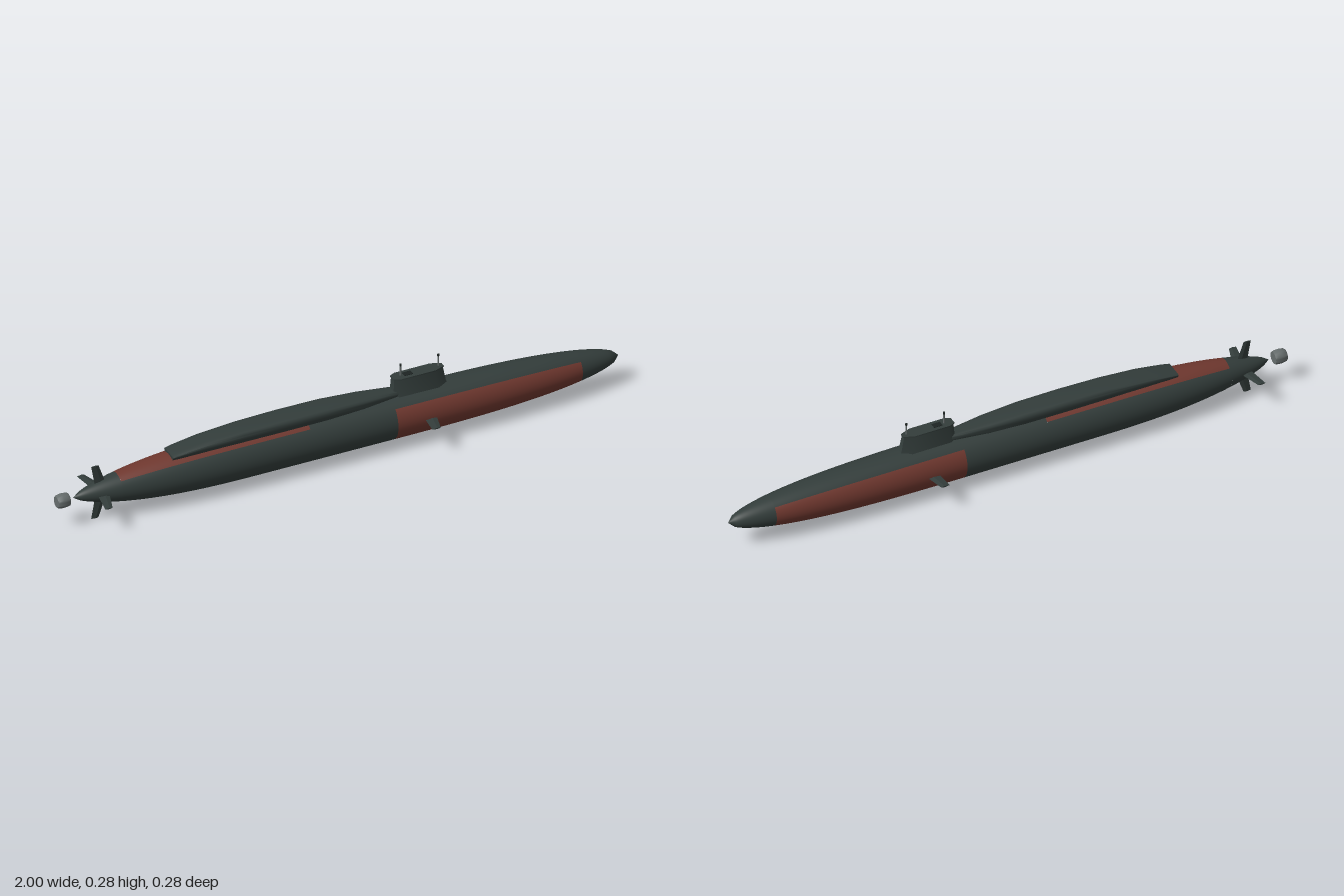
import * as THREE from 'three';
import { toCreasedNormals } from 'three/addons/utils/BufferGeometryUtils.js';

const material = (name, color) => new THREE.MeshStandardMaterial({ name, color });
const AXIS = 0.1; // height of the hull axis
const rad = THREE.MathUtils.degToRad;

// hull radius along its length: full middle, rounded bow, tapered stern
function hullRadius(x) {
  if (x > 0.1) return 0.08 * Math.pow(Math.max(0, 1 - Math.pow((x - 0.1) / 0.9, 3.1)), 0.53);
  if (x < -0.3) return 0.08 * Math.pow(Math.max(0, 1 - Math.pow((-0.3 - x) / 0.64, 2.5)), 0.7);
  return 0.08;
}

// skin through rings that run counter-clockwise around the direction of travel
function loft(rings, crease = 0.6) {
  const n = rings[0].length;
  const index = [];
  for (let i = 0; i < rings.length - 1; i++) {
    for (let j = 0; j < n; j++) {
      const a = i * n + j, b = i * n + (j + 1) % n;
      index.push(a, b, b + n, a, b + n, a + n);
    }
  }
  const last = (rings.length - 1) * n;
  for (let j = 1; j < n - 1; j++) {
    index.push(0, j + 1, j, last, last + j, last + j + 1);
  }
  const geometry = new THREE.BufferGeometry();
  geometry.setAttribute('position', new THREE.Float32BufferAttribute(rings.flat(2), 3));
  geometry.setIndex(index);
  return toCreasedNormals(geometry.toNonIndexed(), crease);
}

export function createModel() {
  const dark = material('darkHull', 0x333d3b);
  const red = material('redPaint', 0x70382f);
  const grey = material('greyMetal', 0x666d6d);
  const black = material('blackTrim', 0x1d2322);

  const model = new THREE.Group();
  model.name = 'submarine';
  const add = (name, geometry, mat, y = 0) => {
    const mesh = new THREE.Mesh(geometry, mat);
    mesh.name = name;
    mesh.position.y = y;
    model.add(mesh);
    return mesh;
  };

  // hull panels: angles in degrees, 0 = +z side, 90 = keel, 270 = top
  const hullPanel = (name, mat, x0, x1, start = 0, sweep = 360) => {
    const steps = Math.max(6, Math.ceil((x1 - x0) * 45));
    const points = [];
    for (let i = 0; i <= steps; i++) {
      const x = x0 + (x1 - x0) * i / steps;
      points.push(new THREE.Vector2(hullRadius(x), x));
    }
    const geometry = new THREE.LatheGeometry(points, Math.round(sweep / 7.5), rad(start), rad(sweep));
    geometry.rotateZ(-Math.PI / 2);
    add(name, geometry, mat, AXIS);
  };
  hullPanel('sternCone', dark, -0.94, -0.785);
  hullPanel('aftHull', dark, -0.785, -0.12, -50, 280);
  hullPanel('aftDeckPaint', red, -0.785, -0.12, 230, 80);
  hullPanel('midHull', dark, -0.12, 0.18);
  hullPanel('foreHullPaint', red, 0.18, 0.85, -45, 270);
  hullPanel('foreDeck', dark, 0.18, 0.85, 225, 90);
  hullPanel('bow', dark, 0.85, 1.0);

  // raised deck casing behind the sail: x, half width, top height
  const casing = [
    [-0.6, 0.034, 0.178], [-0.57, 0.037, 0.184], [-0.48, 0.041, 0.198], [-0.35, 0.044, 0.207],
    [-0.2, 0.045, 0.21], [-0.05, 0.044, 0.209], [0.08, 0.037, 0.203], [0.17, 0.026, 0.197],
    [0.22, 0.02, 0.194],
  ].map(([x, w, t]) => {
    const h = t - 0.17;
    const half = [[0.5, t], [0.82, t - 0.06 * h], [0.96, t - 0.2 * h], [1, t - 0.4 * h],
      [0.98, t - 0.65 * h], [0.8, 0.16]];
    const side = half.map(([k, y]) => [x, y, k * w]);
    return [...side, ...side.map(([px, y, z]) => [px, y, -z]).reverse()];
  });
  add('deckCasing', loft(casing, 0.8), dark);

  // sail with bevelled corners
  const sailRing = (y, x0, x1, w) => [
    [x0, y, w * 0.6], [x0 + 0.02, y, w], [x1 - 0.035, y, w], [x1, y, w * 0.4],
    [x1, y, -w * 0.4], [x1 - 0.035, y, -w], [x0 + 0.02, y, -w], [x0, y, -w * 0.6],
  ];
  add('sail', loft([
    sailRing(0.16, 0.186, 0.392, 0.03), sailRing(0.184, 0.193, 0.382, 0.024),
    sailRing(0.237, 0.197, 0.372, 0.02),
  ]), dark);
  add('sailTop', loft([sailRing(0.237, 0.194, 0.375, 0.0225), sailRing(0.241, 0.194, 0.375, 0.0225)]), dark);
  add('sailHatch', new THREE.BoxGeometry(0.03, 0.002, 0.02).translate(0.25, 0.2415, 0), black);

  // masts with dark heads
  for (const x of [0.225, 0.36]) {
    add('mast', new THREE.CylinderGeometry(0.0025, 0.0025, 0.042, 10).translate(x, 0.259, 0), grey);
    add('mastHead', new THREE.CylinderGeometry(0.004, 0.004, 0.006, 10).translate(x, 0.281, 0), black);
  }

  // thin tapered fins, built upright and turned about the hull axis
  const fin = (name, angle, [y0, a0, a1], [y1, b0, b1], thick) => {
    const ring = (y, x0, x1) => {
      const m = x0 + (x1 - x0) * 0.6;
      return [[m, y, thick / 2], [x1, y, 0], [m, y, -thick / 2], [x0, y, 0]];
    };
    const mesh = add(name, loft([ring(y0, a0, a1), ring(y1, b0, b1)], 0.1), dark, AXIS);
    mesh.rotation.x = angle;
  };
  for (let i = 0; i < 4; i++) {
    fin(i % 2 ? 'sternPlane' : 'rudder', i * Math.PI / 2,
      [0.02, -0.862, -0.822], [i % 2 ? 0.107 : 0.1, -0.876, -0.85], 0.005);
  }
  for (const s of [-1, 1]) {
    fin('bowPlane', s * Math.PI / 2, [0.07, 0.278, 0.32], [0.138, 0.273, 0.303], 0.005);
  }

  // barrel-shaped propulsor
  const barrel = [[0, -1], [0.019, -1], [0.022, -0.996], [0.0245, -0.98], [0.0235, -0.965],
    [0.021, -0.957], [0, -0.957]].map(([r, x]) => new THREE.Vector2(r, x));
  add('propulsor', toCreasedNormals(
    new THREE.LatheGeometry(barrel, 24).rotateZ(-Math.PI / 2).toNonIndexed(), 0.7), grey, AXIS);

  return model;
}
